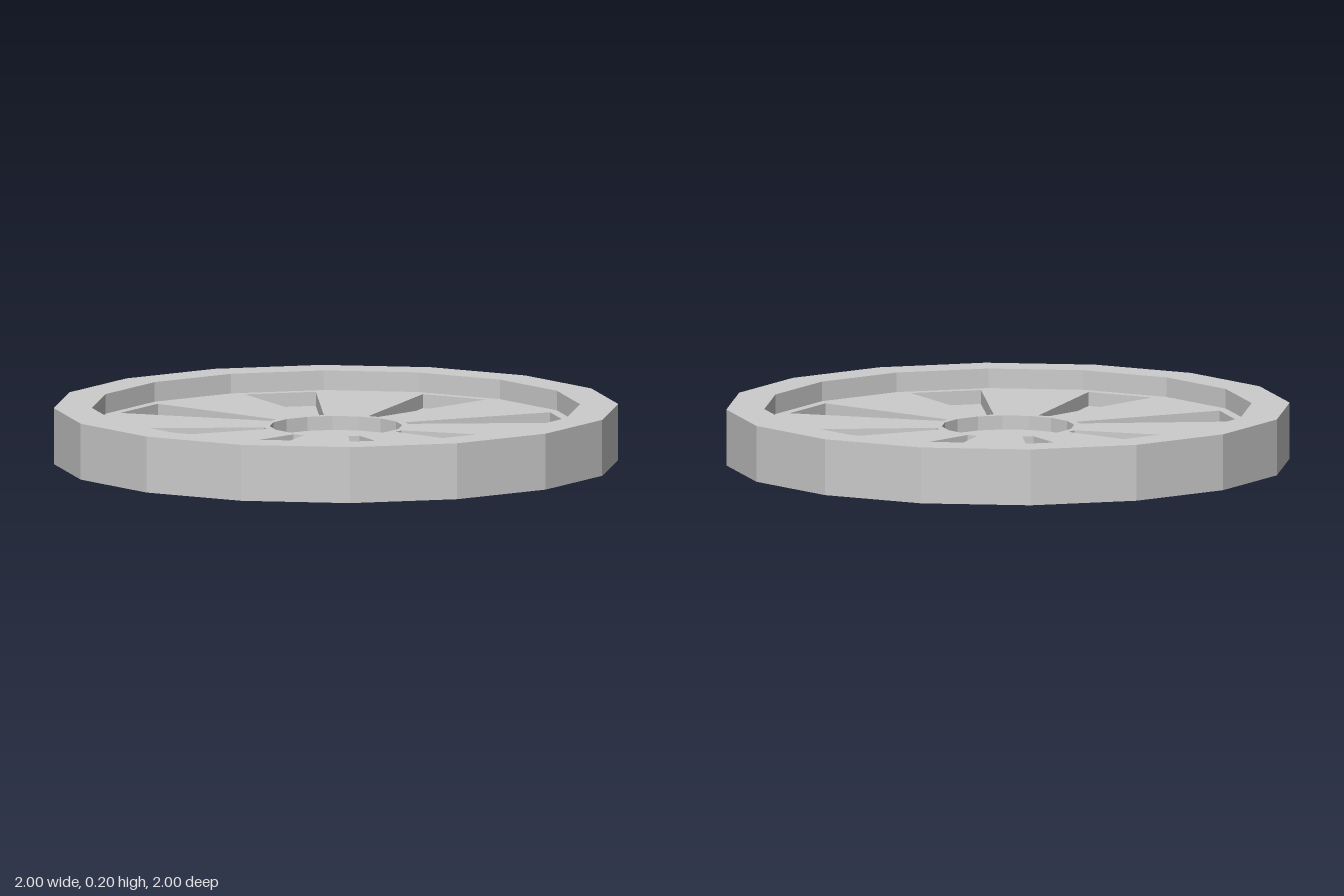
import * as THREE from 'three';

const SIDES = 16;
const RIM_INNER = 0.865, HUB_RADIUS = 0.235;
const TOP = 0.2, WEB_TOP = 0.13, FLOOR = 0.08;

// Regular polygon points with a corner on each axis
function polygon(radius) {
  return Array.from({ length: SIDES }, (_, i) => {
    const a = (i / SIDES) * Math.PI * 2;
    return new THREE.Vector2(radius * Math.cos(a), radius * Math.sin(a));
  });
}

// Unshared vertices give hard facets
function faceted(geometry) {
  const flat = geometry.toNonIndexed();
  flat.computeVertexNormals();
  return flat;
}

export function createModel() {
  const group = new THREE.Group();
  group.name = 'spokedDisc';
  const grey = new THREE.MeshStandardMaterial({ color: 0xcccccc });
  grey.name = 'grey';

  const add = (name, geometry) => {
    const mesh = new THREE.Mesh(geometry, grey);
    mesh.name = name;
    group.add(mesh);
    return mesh;
  };

  // Rim: outer wall, flat top and inner wall
  const profile = [[1, 0], [1, TOP], [RIM_INNER, TOP], [RIM_INNER, WEB_TOP]]
    .map(([r, y]) => new THREE.Vector2(r, y));
  add('rim', faceted(new THREE.LatheGeometry(profile, SIDES)));

  // Underside
  add('underside', new THREE.CircleGeometry(1, SIDES).rotateX(Math.PI / 2));

  // Floor seen through the hub and pockets
  add('pocketFloor', new THREE.CircleGeometry(RIM_INNER, SIDES).rotateX(-Math.PI / 2))
    .position.y = FLOOR;

  // Web with a central recess and eight tapered pockets
  const web = new THREE.Shape(polygon(RIM_INNER));
  web.holes.push(new THREE.Path(polygon(HUB_RADIUS)));
  const pocket = [[0.03, -0.257], [0.07, -0.249], [0.284, -0.773], [0.03, -0.823]];
  const origin = new THREE.Vector2();
  for (let i = 0; i < 8; i++) {
    web.holes.push(new THREE.Path(pocket.map(([x, y]) =>
      new THREE.Vector2(x, y).rotateAround(origin, (i * Math.PI) / 4))));
  }
  const webGeometry = new THREE.ExtrudeGeometry(web, { depth: WEB_TOP - FLOOR, bevelEnabled: false });
  add('spokeWeb', webGeometry.rotateX(-Math.PI / 2)).position.y = FLOOR;

  return group;
}
